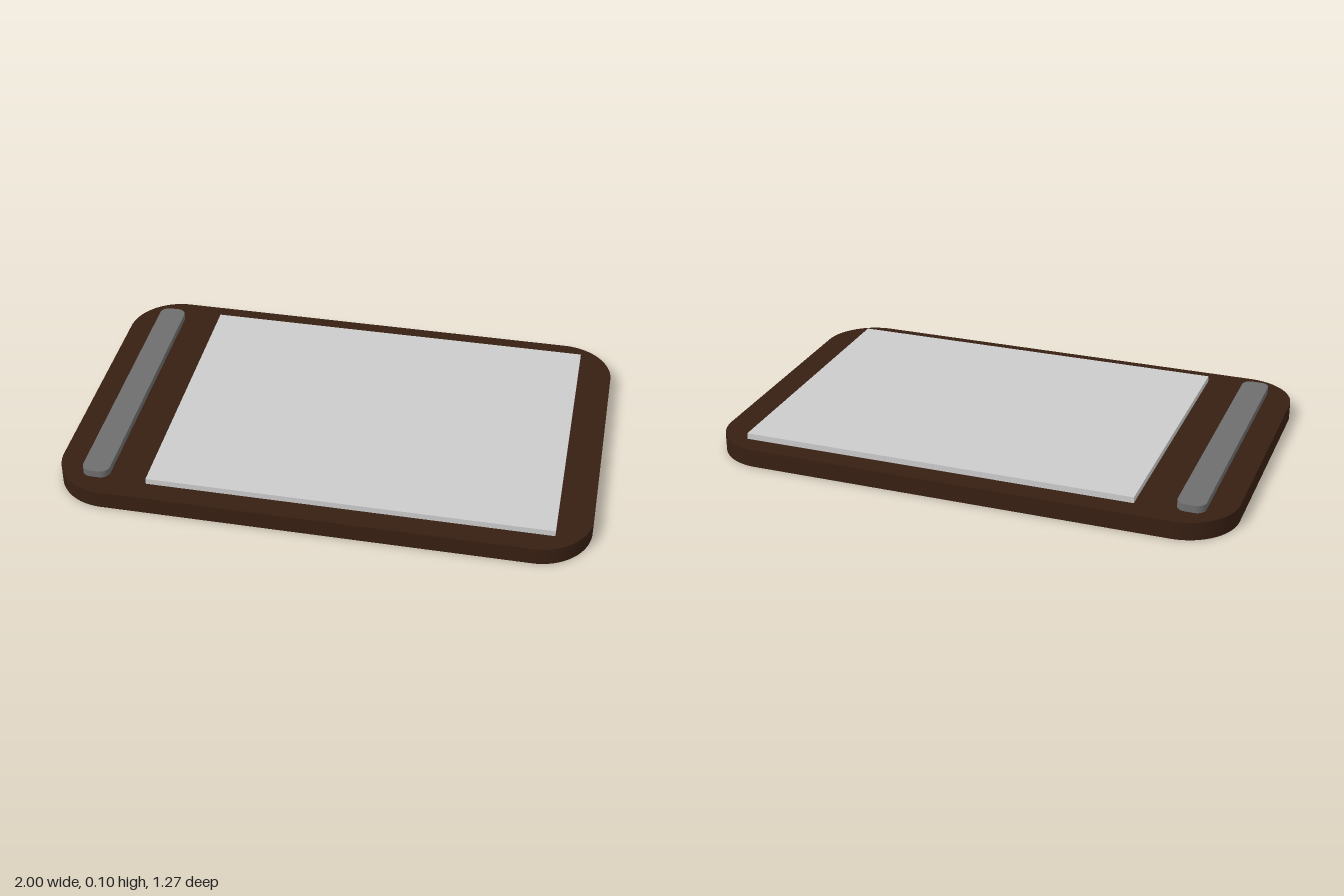
import * as THREE from 'three';

// Rounded rectangle slab lying flat, from height y0 to y1
function slab(name, width, depth, radius, y0, y1, x, color, segments) {
  const w = width / 2, d = depth / 2, r = radius;
  const shape = new THREE.Shape();
  shape.moveTo(w, -d + r);
  shape.absarc(w - r, d - r, r, 0, Math.PI / 2);
  shape.absarc(-w + r, d - r, r, Math.PI / 2, Math.PI);
  shape.absarc(-w + r, -d + r, r, Math.PI, Math.PI * 1.5);
  shape.absarc(w - r, -d + r, r, Math.PI * 1.5, Math.PI * 2);
  const geometry = new THREE.ExtrudeGeometry(shape, {
    depth: y1 - y0, bevelEnabled: false, curveSegments: segments,
  });
  geometry.rotateX(-Math.PI / 2);
  const mesh = new THREE.Mesh(geometry, new THREE.MeshStandardMaterial({ color }));
  mesh.name = name;
  mesh.position.set(x, y0, 0);
  return mesh;
}

export function createModel() {
  const group = new THREE.Group();
  group.name = 'clipboard';
  const top = 0.068;

  // Wooden board with broad round corners
  group.add(slab('board', 2, 1.27, 0.2, 0, top, 0, 0x371f12, 24));

  // Metal clip bar along the short side
  group.add(slab('clip', 0.104, 1.1, 0.035, top, 0.096, -0.844, 0x6e6e6e, 10));

  // Stack of paper
  const paper = new THREE.Mesh(
    new THREE.BoxGeometry(1.515, 0.023, 1.104),
    new THREE.MeshStandardMaterial({ color: 0xcccccc }),
  );
  paper.name = 'paper';
  paper.position.set(0.113, top + 0.0115, 0);
  group.add(paper);

  return group;
}
